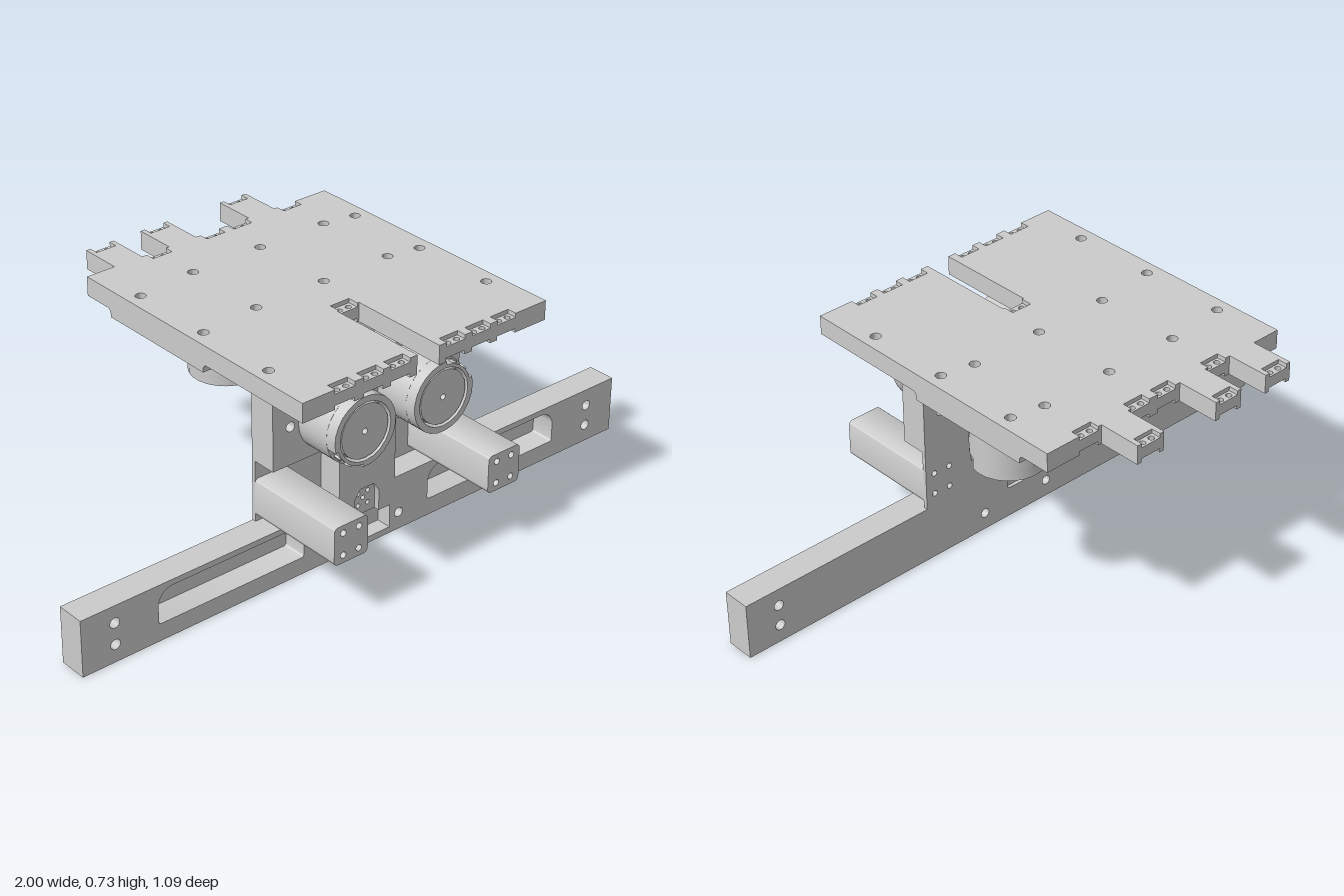
import * as THREE from 'three';
import { toCreasedNormals } from 'three/addons/utils/BufferGeometryUtils.js';

const mat = new THREE.MeshStandardMaterial({ color: 0xcccccc });

function mesh(name, geo, parent) {
  const m = new THREE.Mesh(geo, mat);
  m.name = name;
  parent.add(m);
  return m;
}
const poly = (pts) => new THREE.Shape(pts.map(([x, y]) => new THREE.Vector2(x, y)));
const hole = (x, y, r) => new THREE.Path().absarc(x, y, r, 0, Math.PI * 2, true);

// Rectangle with separate bottom and top corner radii
function roundRect(x0, y0, x1, y1, rb, rt = rb) {
  const s = new THREE.Shape();
  s.moveTo(x0 + rb, y0).lineTo(x1 - rb, y0);
  if (rb) s.absarc(x1 - rb, y0 + rb, rb, -Math.PI / 2, 0, false);
  s.lineTo(x1, y1 - rt);
  if (rt) s.absarc(x1 - rt, y1 - rt, rt, 0, Math.PI / 2, false);
  s.lineTo(x0 + rt, y1);
  if (rt) s.absarc(x0 + rt, y1 - rt, rt, Math.PI / 2, Math.PI, false);
  s.lineTo(x0, y0 + rb);
  if (rb) s.absarc(x0 + rb, y0 + rb, rb, Math.PI, Math.PI * 1.5, false);
  return s;
}

// Extrude a shape from z0 to z1 with smooth rounds and sharp edges
function slab(shape, z0, z1, holes = []) {
  shape.holes.push(...holes);
  const g = new THREE.ExtrudeGeometry(shape, { depth: z1 - z0, bevelEnabled: false, curveSegments: 10 });
  g.translate(0, 0, z0);
  return toCreasedNormals(g, 0.7);
}
// The same, lying flat between heights y0 and y1 (shape y = -z)
const flatSlab = (shape, y0, y1, holes) => slab(shape, y0, y1, holes).rotateX(-Math.PI / 2);

// Round motor pointing along +z, with grooved cap and a stepped terminal recess
function motor(name) {
  const g = new THREE.Group();
  g.name = name;
  const cyl = (part, r, z0, z1, n = 48) =>
    mesh(part, new THREE.CylinderGeometry(r, r, z1 - z0, n).rotateX(Math.PI / 2).translate(0, 0, (z0 + z1) / 2), g);
  cyl('motorNeck', 0.1, 0, 0.011);
  cyl('motorBody', 0.11, 0.01, 0.125);
  const a = 0.28, b = 1.5;
  const rim = new THREE.Shape();
  rim.absarc(0, 0, 0.11, b, a + Math.PI * 2, false);
  rim.absarc(0, 0, 0.1, a, b, false);
  mesh('motorRim', slab(rim, 0.125, 0.16, [hole(0, 0, 0.091)]), g);
  const disc = new THREE.Shape().absarc(0, 0, 0.084, 0, Math.PI * 2, false);
  mesh('motorCap', slab(disc, 0.125, 0.157, [hole(0, 0, 0.009)]), g);
  for (const t of [0.6, 1.1]) {
    const s = mesh('terminalScrew', new THREE.CylinderGeometry(0.011, 0.011, 0.012, 16), g);
    s.position.set(0.1 * Math.cos(t), 0.1 * Math.sin(t), 0.143);
    s.rotation.z = t - Math.PI / 2;
  }
  return g;
}

// Deck outline; notched layers get connector recesses along the edges
function deckOutline(notched) {
  const p = [];
  const notch = (c, y, d, inward) => {
    if (notched) p.push([c - d * 0.034, y], [c - d * 0.034, y + inward], [c + d * 0.034, y + inward], [c + d * 0.034, y]);
  };
  p.push([-0.44, -0.525]);
  for (const c of [-0.295, -0.195, -0.1]) notch(c, -0.525, 1, 0.03);
  p.push([-0.04, -0.525], [-0.04, -0.2]);
  notch(0, -0.2, 1, 0.035);
  p.push([0.04, -0.2], [0.04, -0.525]);
  for (const c of [0.1, 0.195, 0.29]) notch(c, -0.525, 1, 0.03);
  p.push([0.44, -0.525], [0.44, 0.41]);
  for (const [c, tab] of [[0.29, 0], [0.195, 1], [0.1, 0], [0, 0], [-0.1, 1], [-0.195, 0], [-0.295, 1]]) {
    if (tab) p.push([c + 0.049, 0.41], [c + 0.049, 0.545]);
    notch(c, tab ? 0.545 : 0.41, -1, -0.03);
    if (tab) p.push([c - 0.049, 0.545], [c - 0.049, 0.41]);
  }
  p.push([-0.44, 0.41]);
  return poly(p);
}

export function createModel() {
  const root = new THREE.Group();
  root.name = 'motorStand';

  // Upright T plate: thin back skin plus a pocketed front layer
  const bolts = () => [
    ...[-1, 1].flatMap((s) => [
      hole(s * 0.89, 0.125, 0.016), hole(s * 0.89, 0.056, 0.016),
      hole(s * 0.123, 0.056, 0.015), hole(s * 0.283, 0.495, 0.015),
    ]),
    hole(0, 0.495, 0.015),
  ];
  const armHoles = (s, r) => [-1, 1].flatMap((i) =>
    [-1, 1].map((j) => hole(s * 0.285 + i * 0.028, 0.257 + j * 0.035, r)));
  const skin = poly([[-1, 0], [1, 0], [1, 0.18], [0.345, 0.18], [0.345, 0.62], [-0.345, 0.62], [-0.345, 0.18], [-1, 0.18]]);
  mesh('backSkin', slab(skin, 0.2, 0.212, [...bolts(), ...armHoles(1, 0.009), ...armHoles(-1, 0.009),
    roundRect(-0.033, 0.1, 0.033, 0.175, 0.01, 0.02)]), root);
  const front = poly([[-1, 0], [1, 0], [1, 0.18], [0.105, 0.18], [0.105, 0.375], [0.345, 0.375], [0.345, 0.62],
    [-0.345, 0.62], [-0.345, 0.375], [-0.105, 0.375], [-0.105, 0.18], [-1, 0.18]]);
  const centrePocket = poly([[-0.09, 0.02], [0.088, 0.02], [0.088, 0.095], [0.045, 0.095], [0.045, 0.165],
    [0.025, 0.192], [-0.025, 0.192], [-0.045, 0.165], [-0.045, 0.095], [-0.09, 0.095]]);
  mesh('frontPlate', slab(front, 0.212, 0.29, [...bolts(), centrePocket,
    roundRect(-0.745, 0.055, -0.235, 0.162, 0.008, 0.05),
    roundRect(0.235, 0.055, 0.745, 0.162, 0.008, 0.05)]), root);

  // Centre pocket floors
  mesh('lowerPocketFloor', new THREE.BoxGeometry(0.178, 0.075, 0.03).translate(-0.001, 0.0575, 0.226), root);
  mesh('connectorPlate', slab(roundRect(-0.045, 0.095, 0.045, 0.192, 0, 0.02), 0.215, 0.272,
    [hole(-0.018, 0.125, 0.007), hole(0.018, 0.125, 0.007), hole(-0.018, 0.165, 0.007),
      hole(0.018, 0.165, 0.007), hole(0, 0.147, 0.007)]), root);

  // Support arms
  for (const s of [-1, 1]) {
    const x = s * 0.285;
    mesh(s > 0 ? 'leftArm' : 'rightArm',
      slab(roundRect(x - 0.06, 0.197, x + 0.06, 0.317, 0.014), 0.212, 0.545, armHoles(s, 0.01)), root);
  }

  // Front motors, the second turned half round
  for (const s of [-1, 1]) {
    const m = motor(s > 0 ? 'leftFrontMotor' : 'rightFrontMotor');
    m.position.set(s * 0.144, 0.495, 0.28);
    if (s < 0) m.rotation.z = Math.PI;
    root.add(m);
  }

  // Deck in three layers with bolt and pin holes
  const boltSpots = [-0.395, 0.395].flatMap((x) => [[x, 0.22], [x, -0.06], [x, -0.335]])
    .concat([-0.195, 0.05, 0.29].flatMap((x) => [[x, 0.24], [x, -0.04]]));
  const deckBolts = (spots = boltSpots) => spots.map(([x, y]) => hole(x, y, 0.016));
  const pinSpots = [[0, 0.217 - 0.4], ...[-0.295, -0.195, -0.1, 0.1, 0.195, 0.29].map((x) => [x, -0.51]),
    ...[-0.195, 0, 0.1, 0.29].map((x) => [x, 0.395]), ...[-0.295, -0.1, 0.195].map((x) => [x, 0.53])];
  const pins = pinSpots.flatMap(([x, y]) => [-0.016, 0.016].map((d) => hole(x + d, y, 0.009)));
  mesh('deckTop', flatSlab(deckOutline(true), 0.717, 0.73, deckBolts()), root);
  mesh('deckCore', flatSlab(deckOutline(false), 0.682, 0.717, [...deckBolts(), ...pins]), root);
  mesh('deckBottom', flatSlab(deckOutline(true), 0.67, 0.682, deckBolts()), root);

  // Thick pad under the deck with filleted edges
  const padSpots = boltSpots.filter(([, y]) => y > -0.1);
  mesh('deckPad', flatSlab(roundRect(-0.44, -0.113, 0.44, 0.302, 0), 0.645, 0.67, deckBolts(padSpots)), root);
  for (const [z, s] of [[0.113, 1], [-0.302, -1]]) {
    const f = new THREE.Shape();
    f.moveTo(0, 0).lineTo(0, -0.016);
    f.quadraticCurveTo(0.001, -0.001, 0.016, 0);
    const geo = slab(f, -0.44, 0.44).rotateY(-s * Math.PI / 2);
    mesh('padFillet', geo, root).position.set(0, 0.67, z);
  }

  // Motors hanging below the deck
  [-0.195, 0.048, 0.29].forEach((x, i) => {
    const m = motor('deckMotor' + (i + 1));
    m.position.set(x, 0.645, -0.095);
    m.rotation.x = Math.PI / 2;
    root.add(m);
  });
  return root;
}
